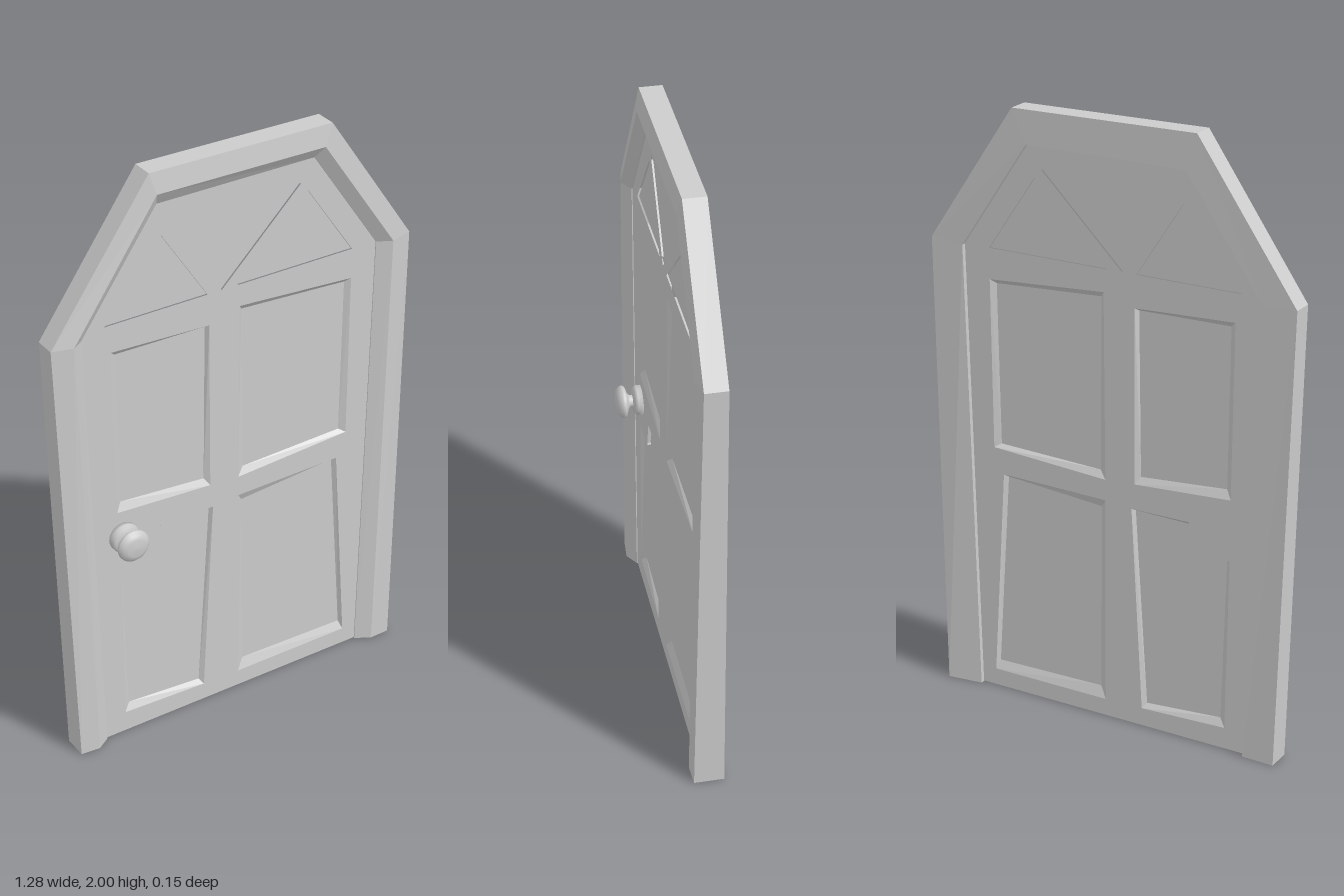
import * as THREE from 'three';

const grey = new THREE.MeshStandardMaterial({ color: 0xcccccc, flatShading: true });
const greyThin = new THREE.MeshStandardMaterial({ color: 0xcccccc, flatShading: true, side: THREE.DoubleSide });
const smooth = new THREE.MeshStandardMaterial({ color: 0xcccccc });

const DOOR_FRONT = -0.012, DOOR_BACK = -0.05;

function addMesh(parent, name, geometry, material = grey) {
  const mesh = new THREE.Mesh(geometry, material);
  mesh.name = name;
  parent.add(mesh);
  return mesh;
}

const toPoints = (pts) => pts.map(([x, y]) => new THREE.Vector2(x, y));

// Flat slab of the given outline between two depths
function slab(outline, back, front, holes = []) {
  const shape = new THREE.Shape(toPoints(outline));
  shape.holes = holes.map((h) => new THREE.Path(toPoints(h)));
  const geometry = new THREE.ExtrudeGeometry(shape, { depth: front - back, bevelEnabled: false });
  return geometry.translate(0, 0, back);
}

// Triangles from a list of quads, each four corners in order
function quads(list) {
  const pos = [];
  for (const [a, b, c, d] of list) pos.push(...a, ...b, ...c, ...a, ...c, ...d);
  const geometry = new THREE.BufferGeometry();
  geometry.setAttribute('position', new THREE.Float32BufferAttribute(pos, 3));
  geometry.computeVertexNormals();
  return geometry;
}

// Sloping border between an outline at one depth and an outline at another
function border(outer, z0, inner, z1) {
  return quads(outer.map((p, i) => {
    const j = (i + 1) % outer.length;
    return [[...p, z0], [...outer[j], z0], [...inner[j], z1], [...inner[i], z1]];
  }));
}

// Frame stations, left foot over the arch to the right foot:
// outer, ridge and inner points, then outer back and outer front depths
const stations = [
  [[-0.605, 0], [-0.54, 0], [-0.495, 0], -0.068, 0.014],
  [[-0.645, 1.515], [-0.575, 1.513], [-0.535, 1.51], -0.065, 0.005],
  [[-0.305, 2], [-0.285, 1.93], [-0.27, 1.885], -0.063, 0.01],
  [[0.335, 1.993], [0.305, 1.925], [0.285, 1.885], -0.063, 0.01],
  [[0.64, 1.54], [0.57, 1.533], [0.525, 1.53], -0.065, 0.008],
  [[0.61, 0], [0.54, 0], [0.49, 0], -0.08, 0.018],
];

function frameGeometry() {
  const rings = stations.map(([outer, ridge, inner, back, front]) => [
    [...outer, back], [...outer, front], [...ridge, 0.02], [...inner, DOOR_FRONT + 0.003], [...inner, -0.065],
  ]);
  const faces = [];
  for (let k = 0; k < rings.length - 1; k++) {
    for (let j = 0; j < 5; j++) {
      const n = (j + 1) % 5;
      faces.push([rings[k][j], rings[k][n], rings[k + 1][n], rings[k + 1][j]]);
    }
  }
  // Soles of the two feet
  const [a, b, c, d, e] = rings[0];
  faces.push([e, d, c, b], [e, b, a, a]);
  const [f, g, h, i, j] = rings[rings.length - 1];
  faces.push([f, g, h, i], [f, i, j, j]);
  return quads(faces);
}

// Crooked sunken panels: rim on the door face, and the smaller sunken field
const panels = [
  {
    name: 'upperRightPanel',
    rim: [[-0.435, 1.437], [-0.09, 1.422], [-0.09, 0.842], [-0.43, 0.862]],
    field: [[-0.415, 1.418], [-0.098, 1.413], [-0.106, 0.866], [-0.41, 0.89]],
  },
  {
    name: 'upperLeftPanel',
    rim: [[0.02, 1.455], [0.435, 1.427], [0.43, 0.86], [0.015, 0.835]],
    field: [[0.035, 1.435], [0.418, 1.413], [0.41, 0.872], [0.04, 0.86]],
  },
  {
    name: 'lowerLeftPanel',
    rim: [[0.015, 0.765], [0.395, 0.772], [0.44, 0.06], [0.015, 0.06]],
    field: [[0.035, 0.735], [0.385, 0.762], [0.43, 0.09], [0.04, 0.097]],
  },
  {
    name: 'lowerRightPanel',
    rim: [[-0.43, 0.657], [-0.31, 0.657], [-0.285, 0.757], [-0.08, 0.757], [-0.12, 0.063], [-0.422, 0.075]],
    field: [[-0.415, 0.664], [-0.32, 0.664], [-0.293, 0.745], [-0.088, 0.749], [-0.132, 0.08], [-0.4, 0.1]],
  },
];

// Triangular lights under the arch
const lights = [
  [[-0.455, 1.53], [-0.255, 1.777], [-0.095, 1.53]],
  [[-0.23, 1.81], [0.24, 1.81], [-0.045, 1.53]],
  [[0.01, 1.53], [0.265, 1.78], [0.435, 1.53]],
];

export function createModel() {
  const model = new THREE.Group();
  model.name = 'door';

  addMesh(model, 'frame', frameGeometry());

  // Door leaf, cut through for panels and lights
  const leaf = [
    [-0.5, 0.002], [-0.54, 1.512], [-0.273, 1.89], [0.288, 1.89], [0.53, 1.532], [0.495, 0.002],
  ];
  const holes = [...panels.map((p) => p.rim), ...lights];
  addMesh(model, 'doorLeaf', slab(leaf, DOOR_BACK, DOOR_FRONT, holes));

  for (const { name, rim, field } of panels) {
    const panel = new THREE.Group();
    panel.name = name;
    model.add(panel);
    const front = DOOR_FRONT - 0.014, back = DOOR_BACK + 0.014;
    addMesh(panel, 'sunkenField', slab(field, back, front));
    addMesh(panel, 'frontBevel', border(rim, DOOR_FRONT, field, front), greyThin);
    addMesh(panel, 'backBevel', border(rim, DOOR_BACK, field, back), greyThin);
  }

  lights.forEach((outline) => {
    addMesh(model, 'windowLight', slab(outline, DOOR_BACK + 0.006, DOOR_FRONT - 0.006));
  });

  // Turned knob with its rose, on an axis pointing to the front
  const knob = new THREE.Group();
  knob.name = 'knob';
  knob.position.set(-0.412, 0.77, 0);
  model.add(knob);
  const rose = [[0, -0.014], [0.05, -0.014], [0.05, 0.004], [0.042, 0.014], [0.02, 0.018]];
  const handle = [
    [0.02, 0.012], [0.02, 0.028], [0.03, 0.035], [0.049, 0.041], [0.055, 0.048],
    [0.054, 0.056], [0.044, 0.067], [0.03, 0.072], [0, 0.074],
  ];
  addMesh(knob, 'rose', new THREE.LatheGeometry(toPoints(rose), 24).rotateX(Math.PI / 2), smooth);
  addMesh(knob, 'handle', new THREE.LatheGeometry(toPoints(handle), 24).rotateX(Math.PI / 2), smooth);

  return model;
}
